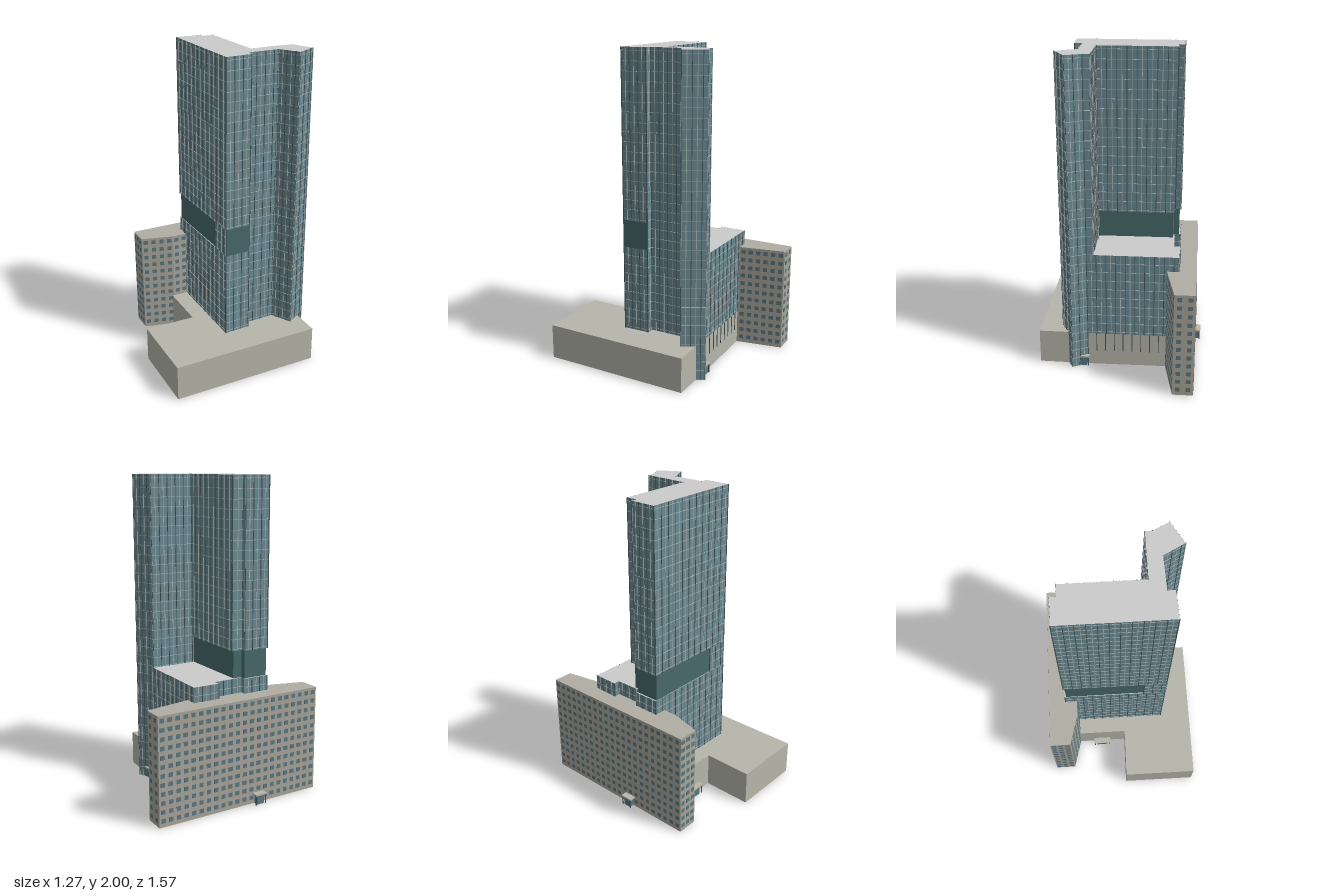
import * as THREE from 'three';
import { mergeGeometries } from 'three/addons/utils/BufferGeometryUtils.js';

const mat = (color) => new THREE.MeshStandardMaterial({ color });
const M = {
  glass: mat(0x6b8a93), roof: mat(0xc6c9c7), light: mat(0xaab6b6), dark: mat(0x46565b),
  teal: mat(0x47696b), slabWall: mat(0xa9a599), slabRoof: mat(0xb0ada3),
  podium: mat(0xb6b6ab), window: mat(0x587782),
};

// Plan outlines as [x, z] corners
const FRONT = [[0.105, 0.34], [0.225, 0.225], [0.195, 0.19], [0.345, 0.05], [0.48, 0.1], [0.53, -0.045], [0.43, -0.085]];
const WING_BACK = [[-0.14, -0.29], [-0.195, -0.24], [-0.215, -0.27], [-0.34, -0.16]];
const INNER = [[0.4, -0.115], [0.185, 0.075]];
const TALL = [...FRONT, ...INNER, ...WING_BACK];
const LOWER = [...FRONT, [0.05, -0.507], [-0.078, -0.4], [-0.048, -0.372], ...WING_BACK];
const BAND_FRONT = [[0.01, 0.233], ...FRONT, ...INNER];
const PLANT = [[-0.332, -0.155], [-0.212, -0.26], [-0.19, -0.235], [-0.145, -0.27], [0.175, 0.08], [0.012, 0.228]];
const TIP = [[0.345, 0.05], [0.48, 0.1], [0.53, -0.045], [0.43, -0.085]];
const SLAB = [[-0.64, -0.045], [0.2, -0.785], [0.285, -0.69], [0.1, -0.455], [-0.36, -0.04], [-0.55, 0.055]];
const PODIUM = [[-0.4, 0.42], [-0.08, 0.78], [0.635, 0.15], [0.43, -0.085], [0.05, -0.5], [-0.37, -0.03], [-0.155, 0.21]];

function add(parent, name, geometry, material) {
  const mesh = new THREE.Mesh(geometry, material);
  mesh.name = name;
  parent.add(mesh);
  return mesh;
}

// Vertical prism over a plan outline
function prism(parent, name, outline, y0, y1, roof, wall) {
  const shape = new THREE.Shape(outline.map(([x, z]) => new THREE.Vector2(x, -z)));
  const g = new THREE.ExtrudeGeometry(shape, { depth: y1 - y0, bevelEnabled: false });
  g.rotateX(-Math.PI / 2).translate(0, y0, 0);
  return add(parent, name, g, [roof, wall]);
}

// Box straddling the wall a-b, centred at fraction t along it
function wallBox([ax, az], [bx, bz], t, y, w, h, d) {
  return new THREE.BoxGeometry(w, h, d)
    .rotateY(Math.atan2(az - bz, bx - ax))
    .translate(ax + (bx - ax) * t, y, az + (bz - az) * t);
}

const walls = (outline) => outline.map((a, i) => {
  const b = outline[(i + 1) % outline.length];
  return { a, b, len: Math.hypot(b[0] - a[0], b[1] - a[1]) };
});

// Glass volume with alternating mullions and floor lines
function curtainWall(parent, name, outline, y0, y1) {
  const group = new THREE.Group();
  group.name = name;
  parent.add(group);
  prism(group, name + 'Glass', outline, y0, y1, M.roof, M.glass);
  const light = [], dark = [];
  for (const { a, b, len } of walls(outline)) {
    const n = Math.max(1, Math.round(len / 0.03));
    for (let i = 0; i <= n; i++) {
      const bar = wallBox(a, b, i / n, (y0 + y1) / 2, 0.004, y1 - y0, 0.006);
      (i % 2 ? light : dark).push(bar);
    }
    for (let y = Math.ceil(y0 / 0.06) * 0.06; y < y1 - 0.01; y += 0.06) {
      light.push(wallBox(a, b, 0.5, y, len, 0.003, 0.004));
    }
  }
  add(group, name + 'LightMullions', mergeGeometries(light), M.light);
  add(group, name + 'DarkMullions', mergeGeometries(dark), M.dark);
}

// Doorway with canopy and posts
function entrance(parent, name, x, z, angle, width, depth) {
  const group = new THREE.Group();
  group.name = name;
  group.position.set(x, 0, z);
  group.rotation.y = angle;
  parent.add(group);
  const box = (part, w, h, d, px, py, pz, m) =>
    add(group, part, new THREE.BoxGeometry(w, h, d).translate(px, py, pz), m);
  box('canopy', width, 0.01, depth, 0, 0.065, 0, M.podium);
  box('doors', width * 0.6, 0.06, depth * 0.7, 0, 0.03, 0, M.window);
  for (const sx of [-1, 1]) for (const sz of [-1, 1]) {
    box('post', 0.006, 0.06, 0.006, sx * (width / 2 - 0.006), 0.03, sz * (depth / 2 - 0.006), M.dark);
  }
}

export function createModel() {
  const model = new THREE.Group();
  model.name = 'highRise';

  // Tower: lower shaft, recessed plant floor, upper shaft
  curtainWall(model, 'lowerTower', LOWER, 0.225, 0.775);
  curtainWall(model, 'middleTower', BAND_FRONT, 0.775, 0.95);
  curtainWall(model, 'upperTower', TALL, 0.95, 2);
  curtainWall(model, 'towerFoot', TIP, 0, 0.225);
  prism(model, 'plantFloor', PLANT, 0.775, 0.95, M.teal, M.teal);
  add(model, 'plantPanel', wallBox(FRONT[0], FRONT[1], 0.5, 0.8625, 0.166, 0.175, 0.01), M.teal);

  // Podium, with the bars running down its side wall
  prism(model, 'podium', PODIUM, 0, 0.225, M.podium, M.podium);
  const bars = [];
  for (let i = 1; i < 10; i++) bars.push(wallBox(PODIUM[3], PODIUM[4], i / 10, 0.163, 0.005, 0.125, 0.008));
  add(model, 'podiumBars', mergeGeometries(bars), M.dark);

  // Long low block with a grid of windows
  prism(model, 'rearBlock', SLAB, 0, 0.68, M.slabRoof, M.slabWall);
  const panes = [];
  for (const { a, b, len } of walls(SLAB)) {
    const n = Math.max(2, Math.round(len / 0.052));
    for (let i = 0; i < n; i++) for (let f = 0; f < 12; f++) {
      panes.push(wallBox(a, b, (i + 0.5) / n, 0.04 + f * 0.0555, 0.028, 0.027, 0.004));
    }
  }
  add(model, 'rearBlockWindows', mergeGeometries(panes), M.window);

  // Entrances
  entrance(model, 'rearEntrance', -0.318, -0.338, 0.72, 0.08, 0.07);
  entrance(model, 'sideEntrance', -0.275, 0.095, -0.82, 0.12, 0.055);
  entrance(model, 'towerEntrance', 0.452, -0.068, -0.84, 0.07, 0.05);
  return model;
}
